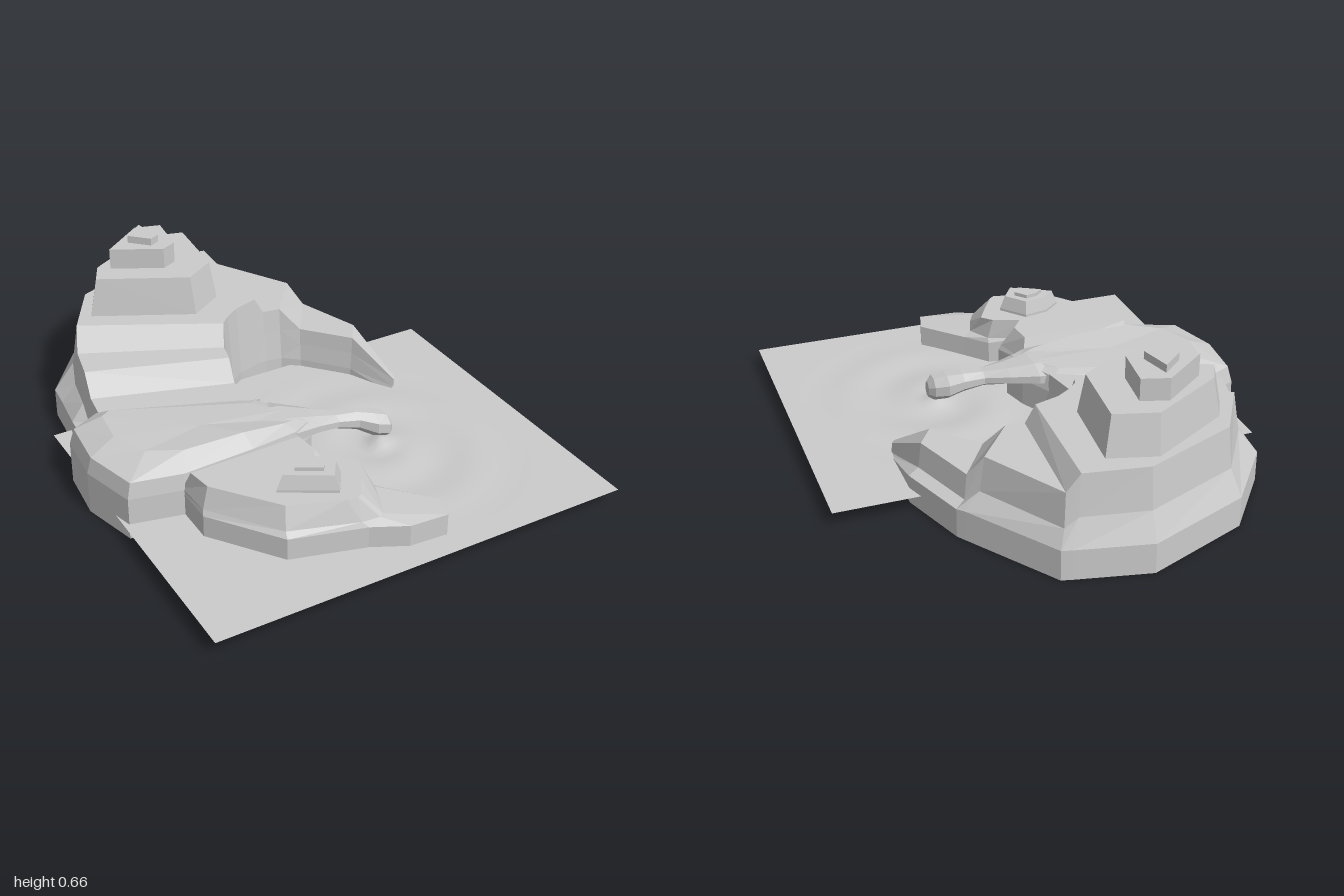
import * as THREE from 'three';

const rock = new THREE.MeshStandardMaterial({ color: 0xcccccc, flatShading: true });
const lerp = (a, b, t) => a + (b - a) * t;

// Closed skin through rings of [x, y, z] points, with fan caps and outward faces.
function loft(name, rings) {
  const n = rings[0].length, pos = rings.flat(2), idx = [];
  for (let r = 0; r < rings.length - 1; r++) {
    for (let i = 0; i < n; i++) {
      const a = r * n + i, b = r * n + (i + 1) % n;
      idx.push(a, b, b + n, a, b + n, a + n);
    }
  }
  [0, rings.length - 1].forEach((r, end) => {
    const c = pos.length / 3;
    for (let k = 0; k < 3; k++) pos.push(rings[r].reduce((s, p) => s + p[k], 0) / n);
    for (let i = 0; i < n; i++) {
      const a = r * n + i, b = r * n + (i + 1) % n;
      end ? idx.push(a, b, c) : idx.push(b, a, c);
    }
  });
  // flip the winding if the signed volume is negative
  const P = (i) => new THREE.Vector3().fromArray(pos, i * 3);
  let volume = 0;
  for (let i = 0; i < idx.length; i += 3) volume += P(idx[i]).dot(P(idx[i + 1]).cross(P(idx[i + 2])));
  if (volume < 0) idx.reverse();
  const g = new THREE.BufferGeometry();
  g.setAttribute('position', new THREE.Float32BufferAttribute(pos, 3));
  g.setIndex(idx);
  const flat = g.toNonIndexed();
  flat.computeVertexNormals();
  const mesh = new THREE.Mesh(flat, rock);
  mesh.name = name;
  return mesh;
}

// Horizontal ring from [x, z, y?] points, optionally shrunk about their mean.
function ring(pts, y, s = 1) {
  const cx = pts.reduce((t, p) => t + p[0], 0) / pts.length;
  const cz = pts.reduce((t, p) => t + p[1], 0) / pts.length;
  return pts.map((p) => [lerp(cx, p[0], s), p[2] ?? y, lerp(cz, p[1], s)]);
}

// Crescent ribs: inner x,z / outer top x,z / outer base x,z / height
const RIBS = [
  [0.52, 0, 0.535, -0.02, 0.545, -0.02, 0.1],
  [0.43, -0.18, 0.49, -0.27, 0.545, -0.29, 0.23],
  [0.28, -0.35, 0.40, -0.53, 0.45, -0.56, 0.23],
  [0.21, -0.4, 0.35, -0.58, 0.43, -0.59, 0.32],
  [0.14, -0.41, 0.17, -0.89, 0.2, -0.93, 0.32],
  [0.1, -0.41, 0.12, -0.9, 0.16, -0.94, 0.39],
  [0, -0.38, -0.12, -0.94, -0.12, -1, 0.39],
  [-0.06, -0.34, -0.48, -0.79, -0.52, -0.84, 0.39],
  [-0.1, -0.3, -0.61, -0.57, -0.72, -0.58, 0.39],
  [-0.13, -0.24, -0.65, -0.48, -0.73, -0.48, 0.32],
  [-0.15, -0.16, -0.68, -0.34, -0.75, -0.33, 0.32],
  [-0.16, -0.1, -0.69, -0.27, -0.755, -0.26, 0.24],
  [-0.13, 0.05, -0.71, -0.12, -0.77, -0.14, 0.24],
];

function crescent() {
  return loft('crescentRidge', RIBS.map(([ix, iz, ox, oz, bx, bz, y]) => {
    const low = Math.min(0.12, y * 0.5);
    const bay = (t) => [lerp(ix, 0.2, t), lerp(iz, 0, t)];
    const [mx, mz] = bay(0.02), [fx, fz] = bay(0.05);
    return [
      [bx, 0, bz], [bx, low, bz],
      [lerp(bx, ox, 0.75), Math.max(low, y * 0.58), lerp(bz, oz, 0.75)],
      [ox, y, oz], [ix, y, iz], [mx, y * 0.7, mz], [fx, low * 0.8, fz], [fx, 0, fz],
    ];
  }));
}

// Terraced summit of the large hill
function summit() {
  const g = new THREE.Group();
  g.name = 'summit';
  const tier = [[-0.53, -0.61], [-0.48, -0.71], [-0.17, -0.89], [0.01, -0.84], [-0.02, -0.51], [-0.16, -0.42]];
  const block = [[-0.41, -0.67], [-0.24, -0.8], [-0.14, -0.77], [-0.16, -0.6], [-0.22, -0.57]];
  const cap = [[-0.32, -0.69], [-0.24, -0.76], [-0.21, -0.64], [-0.25, -0.62]];
  g.add(
    loft('lowerTier', [ring(tier, 0.37), ring(tier, 0.39), ring(tier, 0.545, 0.89)]),
    loft('middleTier', [ring(block, 0.53), ring(block, 0.63)]),
    loft('topStone', [ring(cap, 0.62), ring(cap, 0.66)]),
  );
  return g;
}

// Broad rounded shoulder that narrows toward the overhang
function shoulder() {
  const base = [[-0.13, 0.03], [-0.72, -0.19], [-0.84, -0.13], [-0.86, 0.08], [-0.8, 0.3],
    [-0.6, 0.345], [-0.3, 0.33], [-0.1, 0.31], [-0.03, 0.27], [-0.06, 0.17]];
  const top = [[-0.18, 0.07, 0.25], [-0.68, -0.12, 0.27], [-0.72, -0.09, 0.275], [-0.74, 0.06, 0.28],
    [-0.68, 0.2, 0.28], [-0.56, 0.27, 0.285], [-0.32, 0.27, 0.28], [-0.14, 0.26, 0.255],
    [-0.08, 0.24, 0.245], [-0.1, 0.17, 0.25]];
  return loft('shoulder', [ring(base, 0), ring(base, 0.17), ring(base, 0.235, 0.96), ring(top, 0.28)]);
}

// Overhanging arm: x, back z, front z, underside y, top y
function arm() {
  const cuts = [
    [-0.24, 0.05, 0.31, 0.17, 0.255], [-0.1, 0.07, 0.305, 0.17, 0.25], [0, 0.13, 0.285, 0.165, 0.228],
    [0.09, 0.19, 0.275, 0.15, 0.21], [0.17, 0.2, 0.295, 0.13, 0.208], [0.23, 0.21, 0.335, 0.1, 0.2],
    [0.28, 0.24, 0.34, 0.09, 0.185], [0.3, 0.27, 0.32, 0.1, 0.16],
  ];
  return loft('overhangingArm', cuts.map(([x, z0, z1, y0, y1]) =>
    Array.from({ length: 8 }, (_, i) => {
      const a = (i + 0.5) * Math.PI / 4, k = 1 / Math.cos(Math.PI / 8);
      return [x, (y0 + y1) / 2 + Math.sin(a) * k * (y1 - y0) / 2, (z0 + z1) / 2 + Math.cos(a) * k * (z1 - z0) / 2];
    })));
}

// Front hill with a low spit and a small stepped top
function frontHill() {
  const g = new THREE.Group();
  g.name = 'frontHill';
  const base = [[-0.6, 0.32], [-0.6, 0.49], [-0.41, 0.75], [-0.13, 0.83], [0, 0.895], [0.15, 0.905],
    [0.175, 0.81], [0.03, 0.65], [-0.05, 0.56], [-0.19, 0.52], [-0.07, 0.49], [-0.12, 0.32]];
  const foot = [[-0.6, 0.33], [-0.595, 0.48], [-0.405, 0.73], [-0.15, 0.815], [-0.08, 0.82], [-0.06, 0.81],
    [-0.03, 0.75], [0, 0.66], [-0.05, 0.57], [-0.19, 0.52], [-0.08, 0.49], [-0.12, 0.33]];
  const top = [[-0.585, 0.37], [-0.57, 0.47], [-0.39, 0.7], [-0.19, 0.775], [-0.15, 0.785], [-0.13, 0.77],
    [-0.08, 0.69], [-0.03, 0.6], [-0.07, 0.56], [-0.2, 0.51], [-0.13, 0.46], [-0.14, 0.36]];
  const knob = [[-0.38, 0.62], [-0.31, 0.56], [-0.21, 0.54], [-0.13, 0.64], [-0.19, 0.73]];
  g.add(
    loft('hillBody', [ring(base, 0), ring(base, 0.15), ring(foot, 0.17), ring(top, 0.255)]),
    loft('hillTier', [ring(knob, 0.24), ring(knob, 0.265), ring(knob, 0.32, 0.82)]),
    loft('hillCap', [ring(knob, 0.31, 0.46), ring(knob, 0.335, 0.46)]),
  );
  return g;
}

// Water sheet with shallow swirling ripples and a small rise below the arm
function water() {
  const geo = new THREE.PlaneGeometry(1.67, 1.36, 56, 46).rotateX(-Math.PI / 2).translate(0.015, 0, 0.32);
  const p = geo.attributes.position;
  for (let i = 0; i < p.count; i++) {
    const dx = p.getX(i) - 0.25, dz = p.getZ(i) - 0.32, d = Math.hypot(dx, dz);
    const fade = Math.max(0, 1 - d / 0.62);
    const swirl = Math.sin(d * 22 - Math.atan2(dz, dx)) * 0.008 * fade;
    p.setY(i, 0.063 + swirl + 0.03 * Math.exp(-((d / 0.04) ** 2)));
  }
  geo.computeVertexNormals();
  const mesh = new THREE.Mesh(geo, new THREE.MeshStandardMaterial({ color: 0xcccccc, side: THREE.DoubleSide }));
  mesh.name = 'water';
  return mesh;
}

export function createModel() {
  const model = new THREE.Group();
  model.name = 'rockyCove';
  model.add(crescent(), summit(), shoulder(), arm(), frontHill(), water());
  return model;
}
